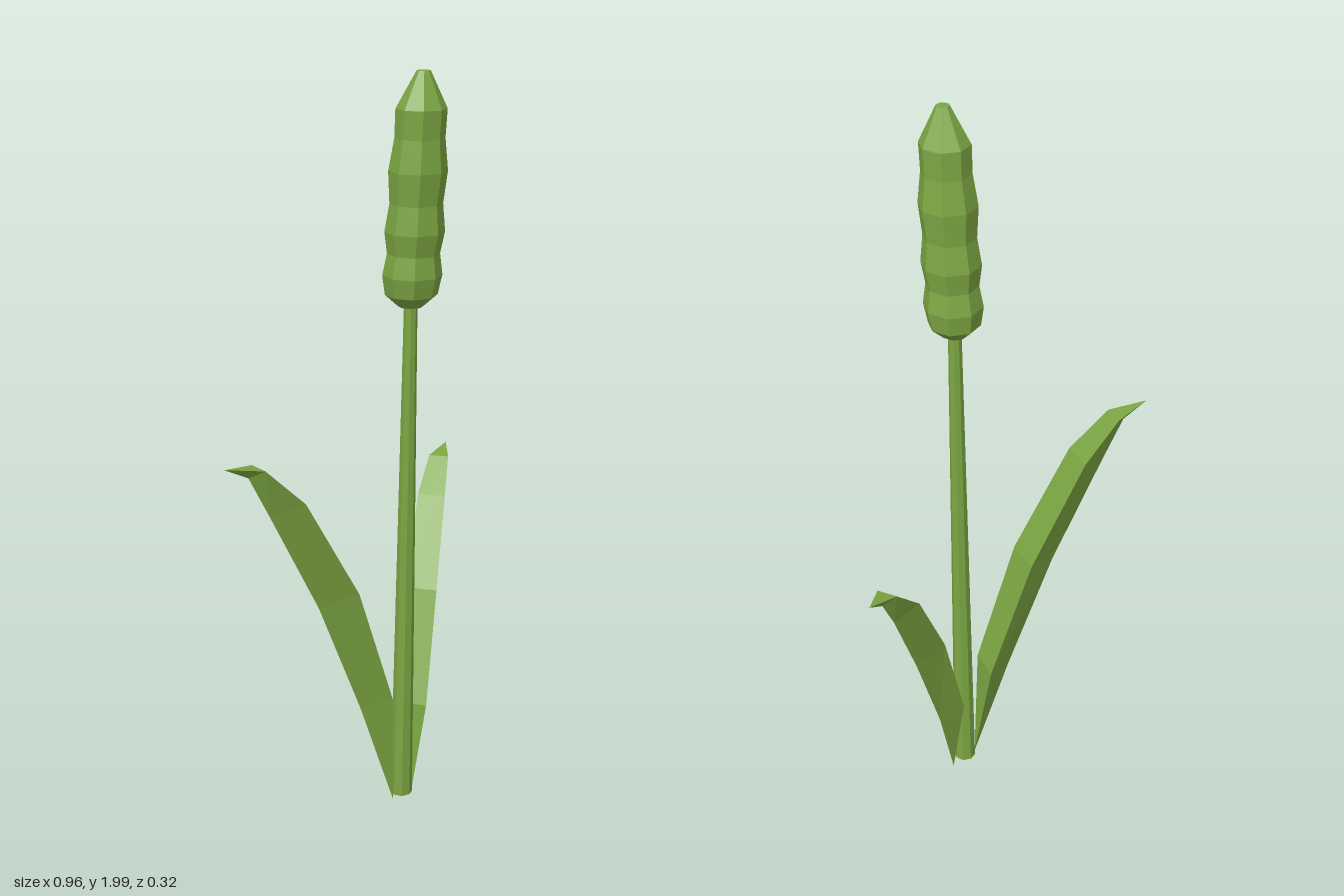
import * as THREE from 'three';

const green = new THREE.MeshStandardMaterial({ color: 0x7ba542, flatShading: true });
green.name = 'reedGreen';

// Lean the turned parts forward: x is fixed, z drifts with height
function lean(geometry) {
  const p = geometry.attributes.position;
  for (let i = 0; i < p.count; i++) {
    p.setX(i, p.getX(i) + 0.055);
    const y = p.getY(i);
    const z = y < 1.43 ? 0.045 + 0.0165 * (y - 0.04) : 0.068 + 0.062 * (y - 1.43);
    p.setZ(i, p.getZ(i) + z);
  }
  geometry.computeVertexNormals();
  return geometry;
}

// Eight-sided turned part from [radius, height] pairs
function turned(name, profile) {
  const points = profile.map(([r, y]) => new THREE.Vector2(r, y));
  const mesh = new THREE.Mesh(lean(new THREE.LatheGeometry(points, 8)), green);
  mesh.name = name;
  return mesh;
}

// Blade with a flat upper face and a keel below.
// Each station: [x, y, z, half width, keel reach, keel drop]
function leaf(name, base, stations, tip) {
  const dir = new THREE.Vector3(tip[0] - base[0], 0, tip[2] - base[2]).normalize();
  const side = new THREE.Vector3(-dir.z, 0, dir.x);
  const rings = stations.map(([x, y, z, half, reach, drop]) => {
    const c = new THREE.Vector3(x, y, z);
    const keel = c.clone().addScaledVector(dir, reach);
    keel.y -= drop;
    return [c.clone().addScaledVector(side, half), keel, c.clone().addScaledVector(side, -half)];
  });
  const start = new THREE.Vector3(...base), end = new THREE.Vector3(...tip);
  const tris = [];
  for (let i = 0; i < 3; i++) {
    const j = (i + 1) % 3;
    tris.push(start, rings[0][j], rings[0][i]);
    for (let k = 0; k < rings.length - 1; k++) {
      const lo = rings[k], up = rings[k + 1];
      tris.push(lo[i], lo[j], up[j], lo[i], up[j], up[i]);
    }
    const last = rings[rings.length - 1];
    tris.push(last[i], last[j], end);
  }
  const geometry = new THREE.BufferGeometry().setFromPoints(tris);
  geometry.computeVertexNormals();
  const mesh = new THREE.Mesh(geometry, green);
  mesh.name = name;
  return mesh;
}

export function createModel() {
  const group = new THREE.Group();
  group.name = 'reed';

  // Tapering stem, closed at the foot
  group.add(turned('stem', [[0, 0.04], [0.03, 0.04], [0.017, 1.43]]));

  // Rippled seed head
  group.add(turned('seedHead', [
    [0, 1.42], [0.032, 1.42], [0.066, 1.45], [0.075, 1.5], [0.066, 1.555], [0.075, 1.61],
    [0.066, 1.68], [0.073, 1.76], [0.062, 1.84], [0.063, 1.91], [0.017, 2], [0, 2],
  ]));

  // Tall leaf on the right, shorter one on the left
  group.add(leaf('rightLeaf', [0.02, 0.03, 0.045], [
    [-0.005, 0.355, 0.03, 0.045, 0.075, 0.02],
    [-0.12, 0.695, 0.008, 0.053, 0.09, 0.035],
    [-0.277, 0.975, -0.02, 0.046, 0.077, 0.03],
    [-0.38, 1.078, -0.042, 0.03, 0.03, 0.02],
  ], [-0.48, 1.095, -0.058]));
  group.add(leaf('leftLeaf', [0.095, 0.012, 0.045], [
    [0.113, 0.28, 0.03, 0.042, 0.065, 0.015],
    [0.207, 0.58, -0.017, 0.043, 0.08, 0.03],
    [0.32, 0.81, -0.078, 0.038, 0.065, 0.028],
    [0.402, 0.895, -0.121, 0.027, 0.027, 0.02],
  ], [0.478, 0.91, -0.158]));

  return group;
}
